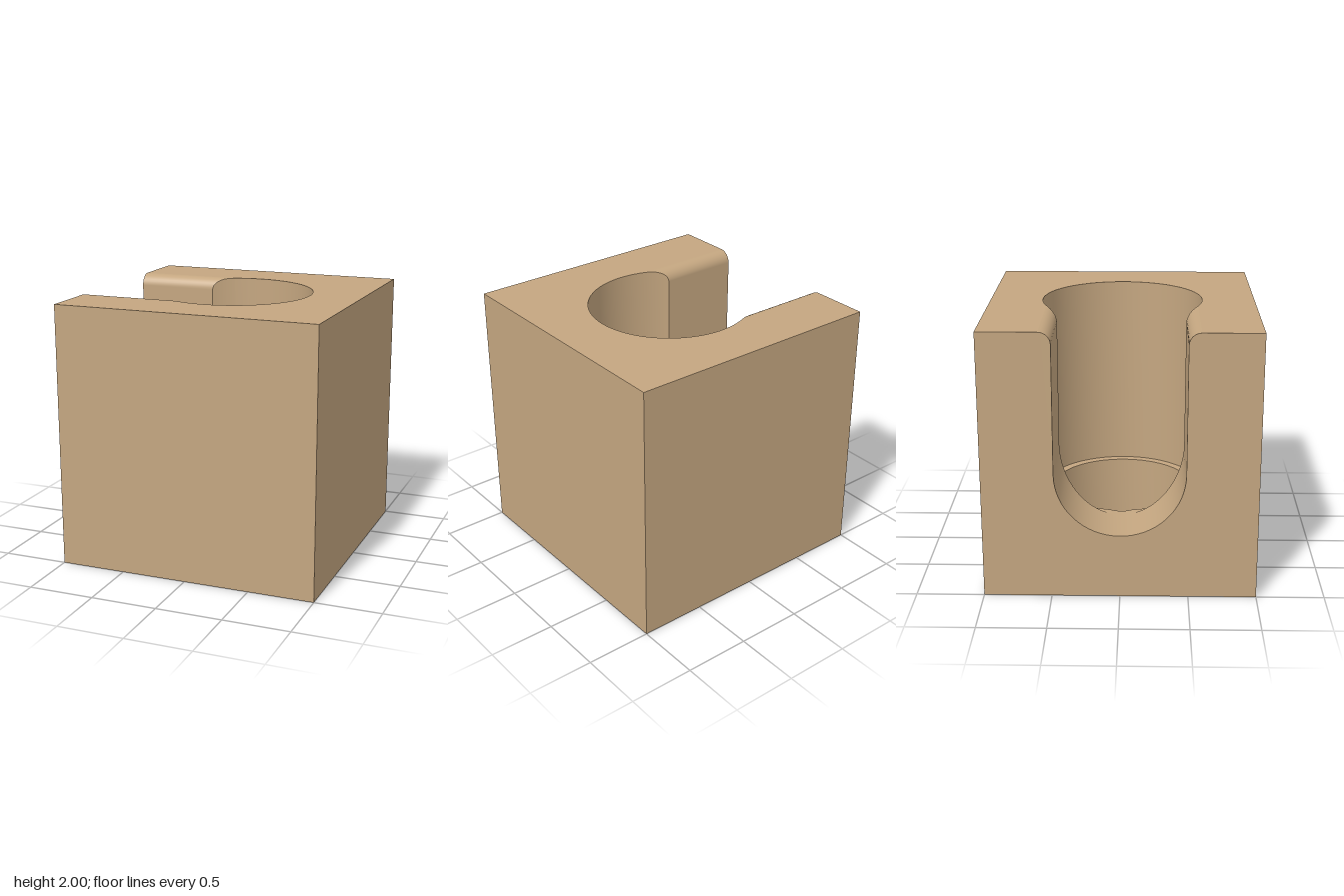
import * as THREE from 'three';

const BORE = 0.54, COUNTERBORE = 0.605, LEDGE = 0.49; // radii and ledge height
const SLOT = 0.475, SLOT_Y = 0.955, FILLET = 0.09; // slot half-width, round centre, edge rounding

// Smooth strip between two rows of points
function loft(a, b) {
  const n = a.length, index = [];
  for (let i = 0; i < n - 1; i++) index.push(i, i + 1, n + i, i + 1, n + i + 1, n + i);
  const geo = new THREE.BufferGeometry().setFromPoints([...a, ...b]);
  geo.setIndex(index);
  geo.computeVertexNormals();
  return geo;
}

// Slot outline across z: rounded edge, round bottom, rounded edge
function slotProfile() {
  const left = [], round = [];
  for (let i = 0; i <= 8; i++) {
    const t = (i / 8) * Math.PI / 2;
    left.push([-(SLOT + FILLET) + FILLET * Math.sin(t), 2 - FILLET + FILLET * Math.cos(t)]);
  }
  for (let i = 0; i <= 32; i++) {
    const t = (i / 32) * Math.PI;
    round.push([-SLOT * Math.cos(t), SLOT_Y - SLOT * Math.sin(t)]);
  }
  const right = left.map(([z, y]) => [-z, y]).reverse();
  return [...left, ...round, ...right];
}

export function createModel() {
  const group = new THREE.Group();
  const tan = new THREE.MeshStandardMaterial({ color: 0xc4a680 });
  tan.name = 'tan';
  const add = (name, geo) => {
    const mesh = new THREE.Mesh(geo, tan);
    mesh.name = name;
    group.add(mesh);
    return mesh;
  };
  const V = (x, y, z) => new THREE.Vector3(x, y, z);

  // Counterbore rim: across the slot opening, then around the remaining circle
  const profile = slotProfile();
  const opening = profile.map(([z, y]) => V(-Math.sqrt(COUNTERBORE ** 2 - z * z), y, z));
  const half = Math.asin((SLOT + FILLET) / COUNTERBORE);
  const arc = [];
  for (let i = 0; i <= 40; i++) {
    const t = half + (i / 40) * 2 * (Math.PI - half);
    arc.push(V(-COUNTERBORE * Math.cos(t), 2, COUNTERBORE * Math.sin(t)));
  }
  const rim = [...opening, ...arc.slice(1)];
  const k = BORE / COUNTERBORE;
  const ledgeOuter = rim.map(p => V(p.x, Math.min(LEDGE, p.y), p.z));
  const ledgeInner = ledgeOuter.map(p => V(p.x * k, p.y, p.z * k));
  const boreBottom = ledgeInner.map(p => V(p.x, 0, p.z));

  // Hollow surfaces
  add('slot', loft(profile.map(([z, y]) => V(-1, y, z)), opening));
  add('counterboreWall', loft(rim, ledgeOuter));
  add('ledge', loft(ledgeOuter, ledgeInner));
  add('boreWall', loft(ledgeInner, boreBottom));

  // Plain outer sides
  [['frontFace', 0], ['leftFace', 1], ['backFace', 2]].forEach(([name, turn]) => {
    const geo = new THREE.PlaneGeometry(2, 2);
    geo.translate(0, 1, 1).rotateY(turn * Math.PI / 2);
    add(name, geo);
  });

  // Right side, notched by the slot
  const v2 = (x, y) => new THREE.Vector2(x, y);
  const side = new THREE.Shape([
    v2(-1, 2), v2(-1, 0), v2(1, 0), v2(1, 2),
    ...profile.map(([z, y]) => v2(z, y)).reverse(),
  ]);
  add('rightFace', new THREE.ShapeGeometry(side).rotateY(-Math.PI / 2).translate(-1, 0, 0));

  // Top, opened by the counterbore and slot
  const edge = SLOT + FILLET;
  const outline = [
    [-1, -1], [1, -1], [1, 1], [-1, 1], [-1, edge],
    ...arc.map(p => [p.x, p.z]), [-1, -edge],
  ];
  const top = new THREE.Shape(outline.map(([x, z]) => v2(x, -z)));
  add('topFace', new THREE.ShapeGeometry(top).rotateX(-Math.PI / 2).translate(0, 2, 0));

  // Bottom with the bore hole
  const bottom = new THREE.Shape([v2(-1, -1), v2(1, -1), v2(1, 1), v2(-1, 1)]);
  const hole = boreBottom.filter((p, i) => i === 0 || p.distanceTo(boreBottom[i - 1]) > 1e-5);
  bottom.holes.push(new THREE.Path(hole.slice(0, -1).map(p => v2(p.x, p.z))));
  add('bottomFace', new THREE.ShapeGeometry(bottom).rotateX(Math.PI / 2));

  return group;
}
